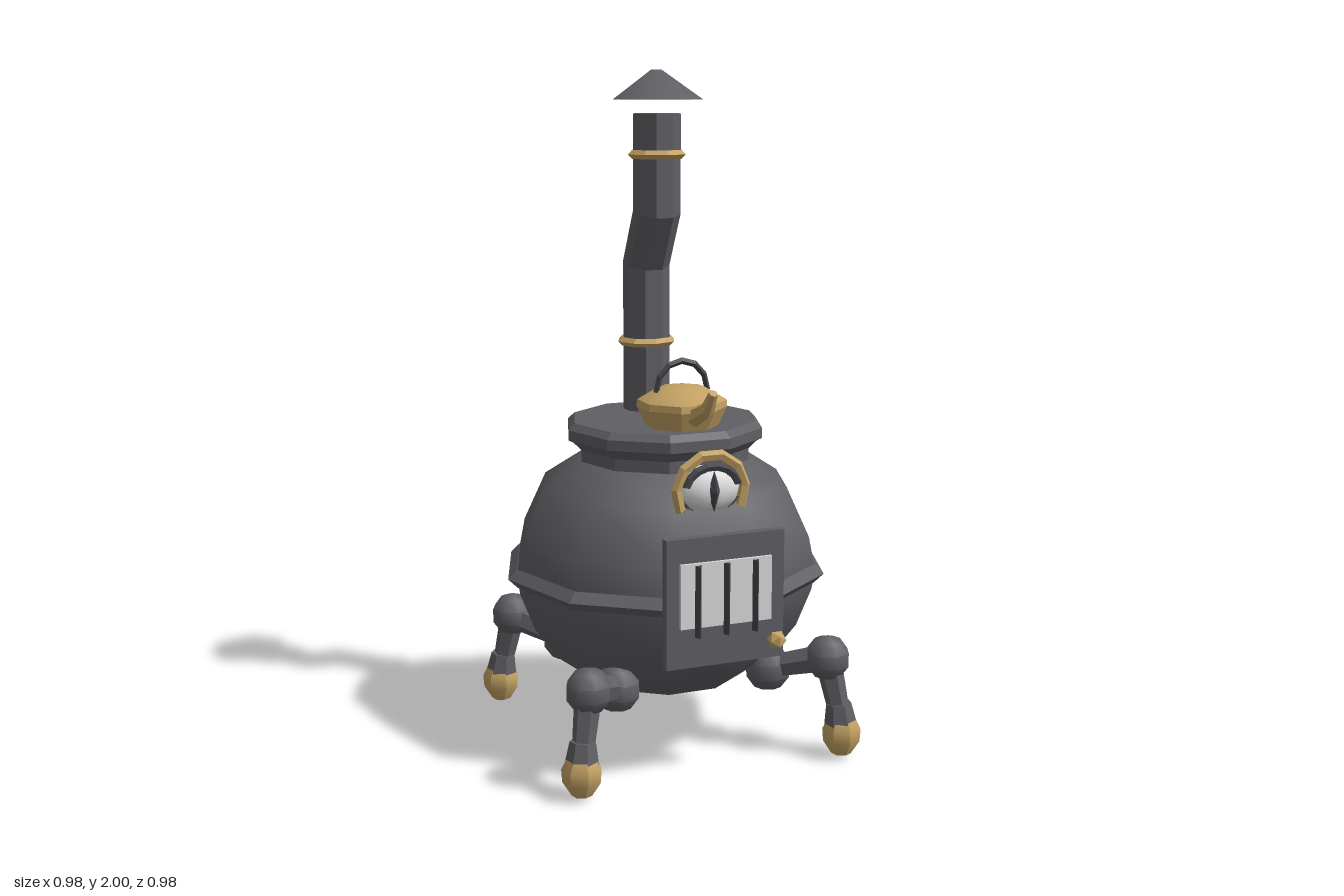
import * as THREE from 'three';
import { toCreasedNormals } from 'three/addons/utils/BufferGeometryUtils.js';

const V = (x, y, z) => new THREE.Vector3(x, y, z);

export function createModel() {
  const material = (name, color) => {
    const m = new THREE.MeshStandardMaterial({ color });
    m.name = name;
    return m;
  };
  const iron = material('iron', 0x605f64);
  const darkIron = material('darkIron', 0x45464c);
  const brass = material('brass', 0xc4a264);
  const pale = material('pale', 0xdcdcdc);

  const model = new THREE.Group();
  model.name = 'stove';
  const CZ = -0.022; // centre of the round body

  // crease: faces meeting at a larger angle keep a sharp edge
  const add = (parent, name, geometry, mat, pos = [0, 0, 0], crease = 0.1) => {
    const mesh = new THREE.Mesh(crease === null ? geometry : toCreasedNormals(geometry, crease), mat);
    mesh.name = name;
    mesh.position.set(...pos);
    parent.add(mesh);
    return mesh;
  };
  const lathe = (points, sides, start = 0) =>
    new THREE.LatheGeometry(points.map(p => new THREE.Vector2(...p)), sides, start);
  const group = (name) => {
    const g = new THREE.Group();
    g.name = name;
    model.add(g);
    return g;
  };
  // tapered rod between two points
  const rod = (parent, name, a, b, ra, rb, mat, sides = 6) => {
    const mesh = add(parent, name, new THREE.CylinderGeometry(rb, ra, a.distanceTo(b), sides), mat);
    mesh.position.copy(a).add(b).multiplyScalar(0.5);
    mesh.quaternion.setFromUnitVectors(V(0, 1, 0), b.clone().sub(a).normalize());
    return mesh;
  };

  // Ten-sided pot with smooth walls
  const turn = Math.PI / 10;
  add(model, 'body', lathe([[0, 0.195], [0.24, 0.195], [0.335, 0.265], [0.41, 0.365], [0.455, 0.48],
    [0.465, 0.54], [0.445, 0.64], [0.375, 0.79], [0.26, 0.865]], 10, turn), iron, [0, 0, CZ], 0.75);
  add(model, 'neckAndLid', lathe([[0.26, 0.85], [0.26, 0.9], [0.285, 0.925], [0.3, 0.932], [0.3, 0.963],
    [0.28, 0.982], [0, 0.985]], 10, turn), iron, [0, 0, CZ], 0.3);
  const band = new THREE.TorusGeometry(0.463, 0.028, 4, 10).rotateX(Math.PI / 2);
  add(model, 'bellyBand', band, iron, [0, 0.53, CZ]);

  // Bent chimney: rows of an eight-sided tube shifted back
  const chimney = group('chimney');
  const rowY = [1.875, 1.59, 1.43, 0.975];
  const rowZ = [-0.075, -0.075, -0.165, -0.165];
  const pipe = new THREE.CylinderGeometry(0.07, 0.07, 1, 8, 3).rotateY(Math.PI / 8);
  const pp = pipe.attributes.position;
  for (let i = 0; i < pp.count; i++) {
    const row = Math.round((0.5 - pp.getY(i)) * 3);
    const z = pp.getZ(i);
    const tilt = row === 1 || row === 2 ? -0.25 * z : 0;
    pp.setXYZ(i, pp.getX(i), rowY[row] + tilt, z + rowZ[row]);
  }
  add(chimney, 'pipe', pipe, iron);
  for (const [y, z] of [[1.757, -0.075], [1.195, -0.165]]) {
    const ring = new THREE.TorusGeometry(0.078, 0.013, 4, 8).rotateX(Math.PI / 2);
    add(chimney, 'pipeRing', ring, brass, [0, y, z]);
  }
  add(chimney, 'rainCap', new THREE.CylinderGeometry(0.016, 0.137, 0.085, 7, 1, false, 0.27), iron,
    [0, 1.9575, -0.08], 0.95);

  // Kettle on the lid
  const kettle = group('kettle');
  add(kettle, 'kettleBody', lathe([[0, 0.983], [0.105, 0.983], [0.132, 1.04], [0.13, 1.06], [0.07, 1.095],
    [0, 1.103]], 8, Math.PI / 8), brass, [0, 0, 0.122], 0.5);
  rod(kettle, 'spoutBase', V(0, 1.025, 0.22), V(0, 1.065, 0.315), 0.03, 0.02, brass);
  rod(kettle, 'spoutTip', V(0, 1.058, 0.308), V(0, 1.115, 0.352), 0.021, 0.013, brass);
  const handle = add(kettle, 'kettleHandle', new THREE.TorusGeometry(0.08, 0.009, 4, 6, Math.PI),
    darkIron, [0, 1.085, 0.122]);
  handle.scale.y = 1.1;

  // Eye above the door
  const eye = group('eye');
  const ball = add(eye, 'eyeball', new THREE.SphereGeometry(0.1, 10, 8), pale, [0, 0.835, 0.31], null);
  ball.scale.set(1, 0.7, 0.6);
  const slit = add(eye, 'pupil', new THREE.OctahedronGeometry(0.06), darkIron, [0, 0.838, 0.362]);
  slit.scale.set(0.33, 1, 0.35);
  const arc = (name, r, tube, from, to, mat, z) => {
    const g = new THREE.TorusGeometry(r, tube, 5, 7, to - from).rotateZ(from);
    return add(eye, name, g, mat, [0, 0.835, z]);
  };
  arc('browRing', 0.105, 0.016, -0.5, Math.PI + 0.5, brass, 0.338);
  arc('upperLid', 0.083, 0.014, 0.25, Math.PI - 0.25, darkIron, 0.345).scale.y = 0.85;
  arc('lowerLid', 0.088, 0.009, Math.PI + 0.35, 2 * Math.PI - 0.35, darkIron, 0.33).scale.y = 0.75;

  // Fire door with barred window
  const door = group('door');
  add(door, 'doorPanel', new THREE.BoxGeometry(0.355, 0.37, 0.028), iron, [-0.002, 0.55, 0.438]);
  add(door, 'window', new THREE.BoxGeometry(0.275, 0.185, 0.009), pale, [-0.003, 0.573, 0.456]);
  for (const x of [-0.09, -0.004, 0.083]) {
    add(door, 'windowBar', new THREE.CylinderGeometry(0.011, 0.011, 0.205, 3), darkIron, [x, 0.558, 0.47]);
  }
  add(door, 'doorKnob', new THREE.IcosahedronGeometry(0.028), brass, [0.148, 0.42, 0.468]);

  // Four jointed legs, set on the diagonals
  for (const sx of [-1, 1]) for (const sz of [-1, 1]) {
    const leg = group('leg');
    const at = (d, y) => V(sx * d, y, CZ + sz * d);
    const hip = at(0.24, 0.245), knee = at(0.372, 0.3), ankle = at(0.398, 0.145);
    const joint = (name, p, r) =>
      add(leg, name, new THREE.SphereGeometry(r, 8, 5), iron, p.toArray(), 0.85);
    joint('hip', hip, 0.072);
    joint('knee', knee, 0.068);
    rod(leg, 'thigh', hip, knee, 0.036, 0.046, iron);
    rod(leg, 'shin', ankle, knee, 0.032, 0.04, iron);
    rod(leg, 'ankle', at(0.403, 0.1), at(0.398, 0.165), 0.05, 0.038, iron, 7);
    add(leg, 'foot', lathe([[0, 0], [0.03, 0.012], [0.055, 0.052], [0.058, 0.09], [0.044, 0.117], [0, 0.12]], 7),
      brass, at(0.405, 0).toArray(), 0.6);
  }
  return model;
}
